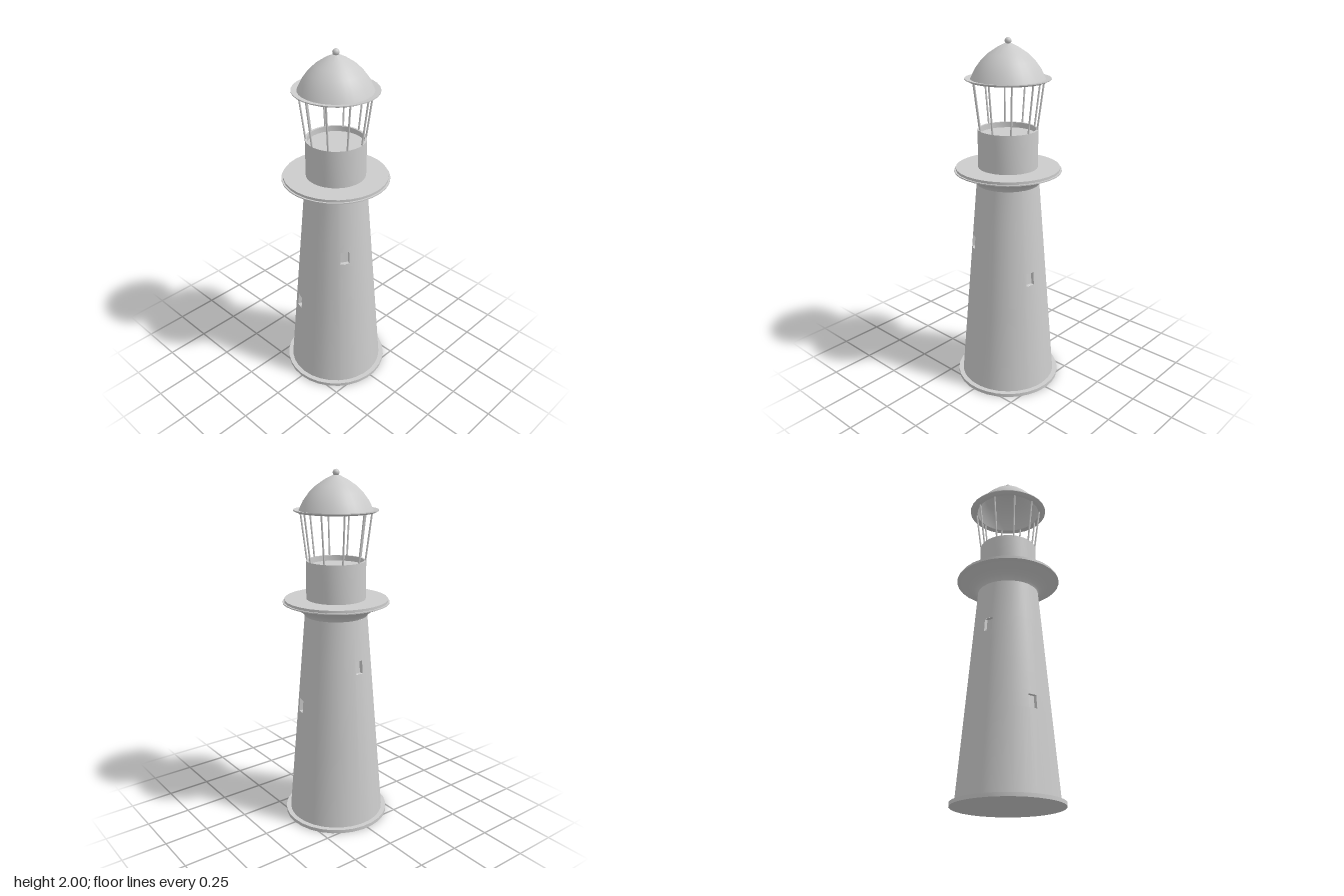
import * as THREE from 'three';
import { mergeVertices, toCreasedNormals } from 'three/addons/utils/BufferGeometryUtils.js';

const SIDES = 30;
const DEG = Math.PI / 180;
const material = new THREE.MeshStandardMaterial({ color: 0xcccccc });

function add(group, name, geometry) {
  const mesh = new THREE.Mesh(geometry, material);
  mesh.name = name;
  group.add(mesh);
  return mesh;
}

// Turned part from [radius, y] points, listed upward along the outside; vertices start on +x
function turned(points, crease = 0.5) {
  const geometry = new THREE.LatheGeometry(points.map(([r, y]) => new THREE.Vector2(r, y)), SIDES, Math.PI / 2);
  geometry.deleteAttribute('normal');
  geometry.deleteAttribute('uv');
  return toCreasedNormals(mergeVertices(geometry), crease);
}

// Tapering tower wall
const BOTTOM = 0.02, TOP = 1.215;
const radiusAt = (y) => THREE.MathUtils.lerp(0.275, 0.175, (y - BOTTOM) / (TOP - BOTTOM));
const wallPoint = (angle, y, inset = 0) => {
  const r = radiusAt(y) - inset;
  return [Math.sin(angle) * r, y, Math.cos(angle) * r];
};

// Window openings: [angle from the front towards +x in degrees, height of centre]
const windows = [[-31, 0.88], [77, 0.7], [183, 0.95], [249, 0.5]].map(([deg, y]) => {
  const angle = ((deg + 360) % 360) * DEG;
  const half = 0.025 / radiusAt(y);
  return { a0: angle - half, a1: angle + half, y0: y - 0.037, y1: y + 0.037 };
});

function quadGeometry(quads) {
  const positions = [];
  for (const [a, b, c, d] of quads) positions.push(...a, ...b, ...c, ...a, ...c, ...d);
  const geometry = new THREE.BufferGeometry();
  geometry.setAttribute('position', new THREE.Float32BufferAttribute(positions, 3));
  return toCreasedNormals(geometry, 0.6);
}

function towerWall() {
  const angles = [], heights = [BOTTOM, TOP], quads = [];
  for (let i = 0; i <= SIDES; i++) angles.push((i * 2 * Math.PI) / SIDES - 6 * DEG);
  for (const w of windows) {
    angles.push(w.a0, w.a1);
    heights.push(w.y0, w.y1);
  }
  angles.sort((a, b) => a - b);
  heights.sort((a, b) => a - b);
  for (let i = 0; i < angles.length - 1; i++) {
    for (let j = 0; j < heights.length - 1; j++) {
      const [a0, a1, y0, y1] = [angles[i], angles[i + 1], heights[j], heights[j + 1]];
      if (a1 - a0 < 1e-5) continue;
      const a = (a0 + a1) / 2, y = (y0 + y1) / 2;
      if (windows.some((w) => a > w.a0 && a < w.a1 && y > w.y0 && y < w.y1)) continue;
      quads.push([wallPoint(a0, y0), wallPoint(a1, y0), wallPoint(a1, y1), wallPoint(a0, y1)]);
    }
  }
  return quadGeometry(quads);
}

// Four reveals and a back pane sunk into the wall
function windowRecess({ a0, a1, y0, y1 }) {
  const corners = [[a0, y0], [a1, y0], [a1, y1], [a0, y1]];
  const outer = corners.map(([a, y]) => wallPoint(a, y));
  const inner = corners.map(([a, y]) => wallPoint(a, y, 0.02));
  const quads = [inner];
  for (let i = 0; i < 4; i++) {
    const j = (i + 1) % 4;
    quads.push([outer[i], outer[j], inner[j], inner[i]]);
  }
  return quadGeometry(quads);
}

export function createModel() {
  const group = new THREE.Group();
  group.name = 'lighthouse';

  // Tower
  add(group, 'basePlinth', turned([[0, 0], [0.302, 0], [0.302, 0.02], [0.27, 0.02]]));
  add(group, 'towerWall', towerWall());
  windows.forEach((w, i) => add(group, `windowRecess${i + 1}`, windowRecess(w)));

  // Gallery: flared bracket with a thin deck on top
  add(group, 'galleryFlare', turned([
    [0.175, 1.215], [0.183, 1.228], [0.2, 1.243], [0.235, 1.264], [0.297, 1.288], [0.297, 1.294], [0.288, 1.294],
  ], 0.6));
  add(group, 'galleryDeck', turned([[0.288, 1.292], [0.288, 1.308], [0.16, 1.308]]));

  // Lantern room wall with a sunken floor
  add(group, 'lanternWall', turned([
    [0.165, 1.305], [0.165, 1.52], [0.153, 1.52], [0.153, 1.49], [0, 1.49],
  ]));

  // Ten outward-leaning posts
  const posts = new THREE.Group();
  posts.name = 'lanternPosts';
  group.add(posts);
  for (let i = 0; i < 10; i++) {
    const a = (12 + 36 * i) * DEG;
    const from = new THREE.Vector3(Math.sin(a) * 0.159, 1.51, Math.cos(a) * 0.159);
    const to = new THREE.Vector3(Math.sin(a) * 0.194, 1.788, Math.cos(a) * 0.194);
    const axis = to.clone().sub(from);
    const post = add(posts, 'lanternPost', new THREE.CylinderGeometry(0.005, 0.005, axis.length(), 8));
    post.position.copy(from).add(to).multiplyScalar(0.5);
    post.quaternion.setFromUnitVectors(new THREE.Vector3(0, 1, 0), axis.normalize());
  }

  // Hollow domed roof with a brim, and a finial ball
  add(group, 'domeRoof', turned([
    [0, 1.958], [0.055, 1.938], [0.1, 1.908], [0.135, 1.874], [0.168, 1.83], [0.188, 1.782],
    [0.212, 1.778], [0.23, 1.787], [0.23, 1.792], [0.2, 1.788],
    [0.177, 1.836], [0.143, 1.882], [0.105, 1.918], [0.058, 1.949], [0.02, 1.968], [0, 1.972],
  ], 0.6));
  add(group, 'finial', new THREE.SphereGeometry(0.018, 20, 14)).position.y = 1.982;

  return group;
}
